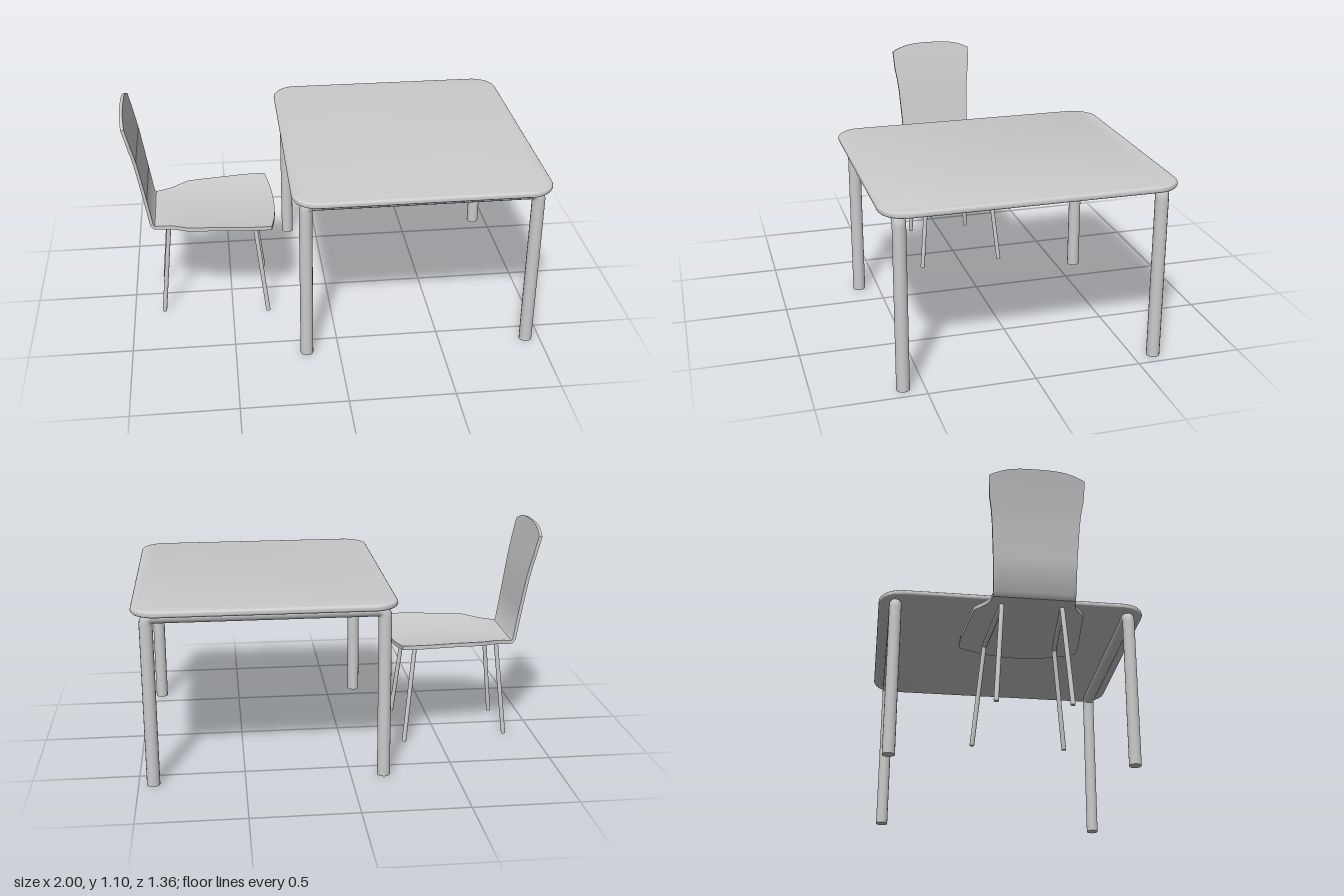
import * as THREE from 'three';
import { toCreasedNormals } from 'three/addons/utils/BufferGeometryUtils.js';

const material = new THREE.MeshStandardMaterial({ color: 0xcccccc });
const V = (x, y, z) => new THREE.Vector3(x, y, z);

function part(name, geometry, parent) {
  const mesh = new THREE.Mesh(geometry, material);
  mesh.name = name;
  parent.add(mesh);
  return mesh;
}

// Bent tube through four corner points, with rounded bends and capped feet
function bentFrame(name, [a, b, c, d], radius, bend, parent) {
  const toward = (from, to) => from.clone().add(to.clone().sub(from).setLength(bend));
  const b1 = toward(b, a), b2 = toward(b, c), c1 = toward(c, b), c2 = toward(c, d);
  const path = new THREE.CurvePath();
  path.add(new THREE.LineCurve3(a, b1));
  path.add(new THREE.QuadraticBezierCurve3(b1, b, b2));
  path.add(new THREE.LineCurve3(b2, c1));
  path.add(new THREE.QuadraticBezierCurve3(c1, c, c2));
  path.add(new THREE.LineCurve3(c2, d));
  part(name, new THREE.TubeGeometry(path, 200, radius, 16), parent);
  for (const foot of [a, d]) {
    const cap = part(name + 'Foot', new THREE.CircleGeometry(radius, 16).rotateX(Math.PI / 2), parent);
    cap.position.copy(foot);
  }
}

// Rounded slab with a soft edge
function tableTopGeometry(w, d, h, r) {
  const e = h / 2, x = w / 2 - e, y = d / 2 - e;
  const s = new THREE.Shape();
  s.absarc(x - r, y - r, r, 0, Math.PI / 2);
  s.absarc(-x + r, y - r, r, Math.PI / 2, Math.PI);
  s.absarc(-x + r, -y + r, r, Math.PI, Math.PI * 1.5);
  s.absarc(x - r, -y + r, r, Math.PI * 1.5, Math.PI * 2);
  s.closePath();
  const g = new THREE.ExtrudeGeometry(s, {
    depth: 0.001, bevelThickness: e - 0.0005, bevelSize: e, bevelSegments: 6, curveSegments: 10,
  });
  return toCreasedNormals(g.translate(0, 0, -0.0005).rotateX(-Math.PI / 2), 0.8);
}

// Bent chair shell: stations run from the front of the seat to the top of the back
function shellGeometry() {
  // centre x, centre y, half width, edge lift, half thickness, end rounding
  const stations = [
    [-0.265, 0.501, 0.285, 0.024, 0.010, 0.030],
    [-0.315, 0.501, 0.287, 0.024, 0.010, 0],
    [-0.400, 0.501, 0.286, 0.024, 0.010, 0],
    [-0.550, 0.501, 0.268, 0.023, 0.010, 0],
    [-0.700, 0.501, 0.252, 0.020, 0.010, 0],
    [-0.740, 0.502, 0.228, 0.014, 0.010, 0],
    [-0.785, 0.503, 0.202, 0.008, 0.010, 0],
    [-0.830, 0.503, 0.190, 0.003, 0.010, 0],
    [-0.868, 0.504, 0.186, 0, 0.009, 0],
    [-0.880, 0.517, 0.185, 0, 0.008, 0],
    [-0.906, 0.680, 0.190, 0, 0.008, 0],
    [-0.932, 0.840, 0.199, 0, 0.008, 0],
    [-0.944, 0.900, 0.205, 0, 0.008, 0],
    [-0.957, 0.955, 0.214, 0, 0.008, 0],
    [-0.967, 1.000, 0.217, 0, 0.008, 0],
    [-0.978, 1.045, 0.219, 0, 0.008, 0],
    [-0.990, 1.096, 0.219, 0, 0.008, 0.042],
  ];
  const n = stations.length, cols = 20, row = 2 * (cols + 1);
  const pos = [], idx = [];
  stations.forEach(([x, y, hw, lift, half, round], i) => {
    const p = stations[Math.max(i - 1, 0)], q = stations[Math.min(i + 1, n - 1)];
    const t = new THREE.Vector2(q[0] - p[0], q[1] - p[1]).normalize();
    const inward = i === 0 ? 1 : -1, power = i === 0 ? 2 : 3;
    // each ring goes across the upper face, then back along the lower face
    for (let k = 0; k < row; k++) {
      const upper = k <= cols;
      const u = (upper ? k : row - 1 - k) / cols * 2 - 1;
      const slide = inward * round * Math.abs(u) ** power;
      const off = upper ? half : -half;
      pos.push(x + t.x * slide + t.y * off, y + t.y * slide - t.x * off + lift * u * u, u * hw);
    }
  });
  for (let i = 0; i < n - 1; i++) {
    for (let k = 0; k < row; k++) {
      const a = i * row + k, b = i * row + (k + 1) % row;
      idx.push(a, a + row, b, b, a + row, b + row);
    }
  }
  // close the front edge and the top edge
  const last = (n - 1) * row;
  for (let k = 0; k < cols; k++) {
    const m = row - 1 - k;
    idx.push(k, k + 1, m, k + 1, m - 1, m);
    idx.push(last + k, last + m, last + k + 1, last + k + 1, last + m, last + m - 1);
  }
  const g = new THREE.BufferGeometry();
  g.setAttribute('position', new THREE.Float32BufferAttribute(pos, 3));
  g.setIndex(idx);
  return toCreasedNormals(g, 0.7);
}

export function createModel() {
  const model = new THREE.Group();
  model.name = 'tableAndChair';

  // Table: slab on two tubular leg frames
  const table = new THREE.Group();
  table.name = 'table';
  model.add(table);
  part('tableTop', tableTopGeometry(1.22, 1.364, 0.031, 0.105), table).position.set(0.39, 0.8475, 0);
  for (const z of [-0.598, 0.598]) {
    bentFrame('tableLegFrame',
      [V(-0.157, 0, z), V(-0.157, 0.819, z), V(0.931, 0.819, z), V(0.931, 0, z)], 0.031, 0.035, table);
  }

  // Chair: one-piece shell on two splayed side frames
  const chair = new THREE.Group();
  chair.name = 'chair';
  model.add(chair);
  part('seatAndBack', shellGeometry(), chair);
  for (const s of [-1, 1]) {
    bentFrame('chairLegFrame', [V(-0.85, 0.002, s * 0.166), V(-0.798, 0.495, s * 0.137),
      V(-0.375, 0.495, s * 0.169), V(-0.32, 0.002, s * 0.217)], 0.011, 0.015, chair);
  }
  return model;
}
